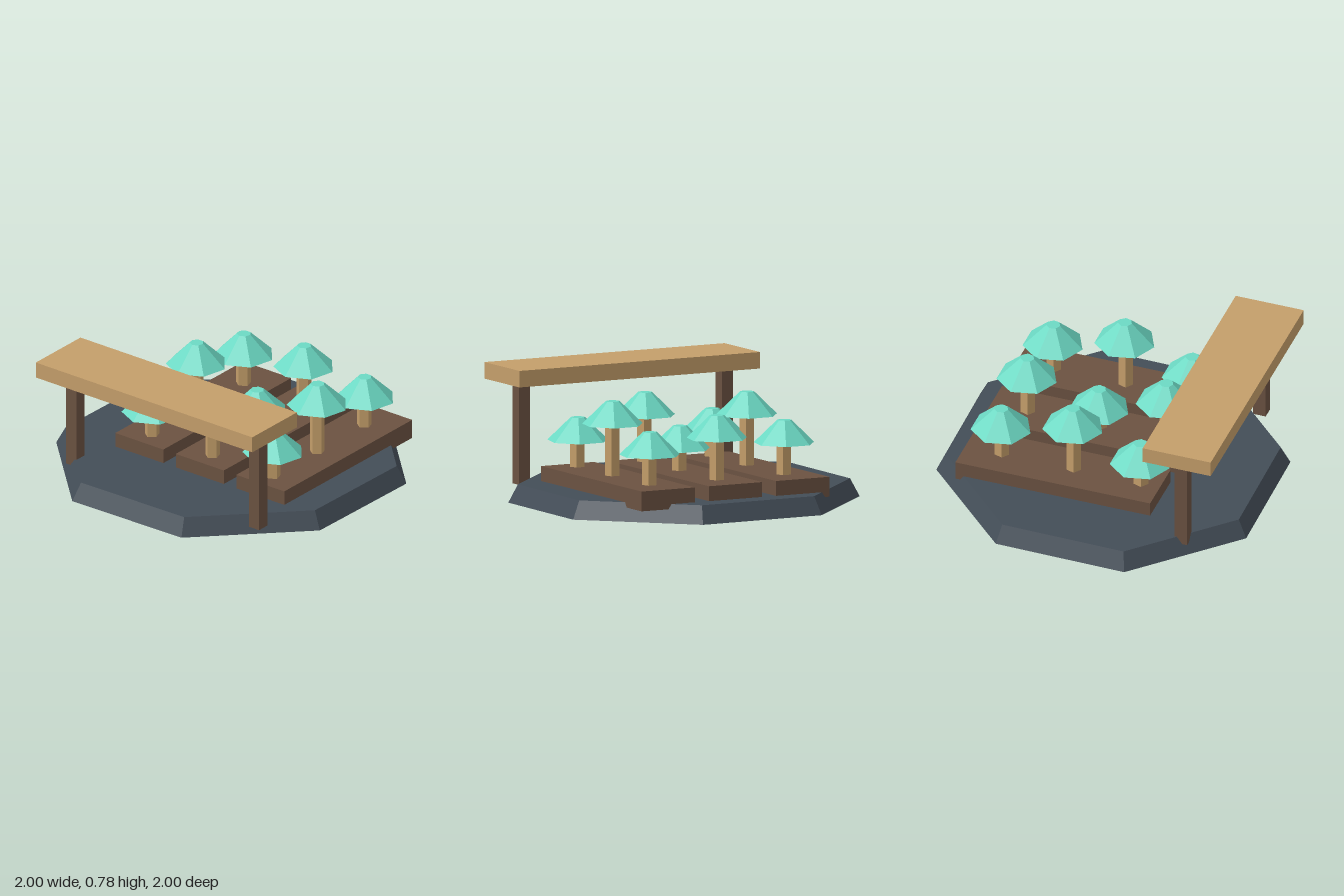
import * as THREE from 'three';

const mat = (name, color) => {
  const m = new THREE.MeshStandardMaterial({ color, flatShading: true });
  m.name = name;
  return m;
};

export function createModel() {
  const slate = mat('slate', 0x434d57);
  const brown = mat('dark brown wood', 0x6b5241);
  const tan = mat('tan wood', 0xc49e6a);
  const teal = mat('teal leaves', 0x6cd9c4);

  const model = new THREE.Group();
  model.name = 'treeNursery';
  const add = (name, geometry, material, x, y, z, parent = model) => {
    const mesh = new THREE.Mesh(geometry, material);
    mesh.name = name;
    mesh.position.set(x, y, z);
    parent.add(mesh);
    return mesh;
  };

  // Octagonal ground slab, stretched slightly along one diagonal
  const k = 0.016;
  const slab = new THREE.CylinderGeometry(1.015, 1.074, 0.11, 8, 1, false, Math.PI / 8);
  slab.applyMatrix4(new THREE.Matrix4().set(1, 0, -k, 0, 0, 1, 0, 0, -k, 0, 1, 0, 0, 0, 0, 1));
  add('groundSlab', slab, slate, 0, 0.055, 0);

  // Three planting beds with three trees each; eave heights run back to front
  const columns = [-0.363, 0.098, 0.559];
  const rows = [-0.583, -0.126, 0.303];
  const eaves = [[0.39, 0.505, 0.35], [0.45, 0.33, 0.48], [0.38, 0.51, 0.36]];
  const bed = new THREE.BoxGeometry(0.366, 0.12, 1.24);
  const crown = new THREE.CylinderGeometry(0.043, 0.186, 0.14, 7);
  columns.forEach((x, i) => {
    add('plantingBed', bed, brown, x, 0.14, -0.19);
    rows.forEach((z, j) => {
      const eave = eaves[i][j];
      const tree = new THREE.Group();
      tree.name = 'tree';
      tree.position.set(x, 0, z);
      const h = eave + 0.02 - 0.19;
      add('trunk', new THREE.CylinderGeometry(0.046, 0.046, h, 5), tan, 0, 0.19 + h / 2, 0.004, tree);
      add('crown', crown, teal, 0, eave + 0.07, 0, tree);
      model.add(tree);
    });
  });

  // Canopy plank above two posts
  const post = new THREE.BoxGeometry(0.078, 0.607, 0.08);
  for (const x of [-0.655, 0.738]) add('canopyPost', post, brown, x, 0.3665, 0.679);
  add('canopyRoof', new THREE.BoxGeometry(1.65, 0.1, 0.433), tan, 0.043, 0.73, 0.684);

  return model;
}
